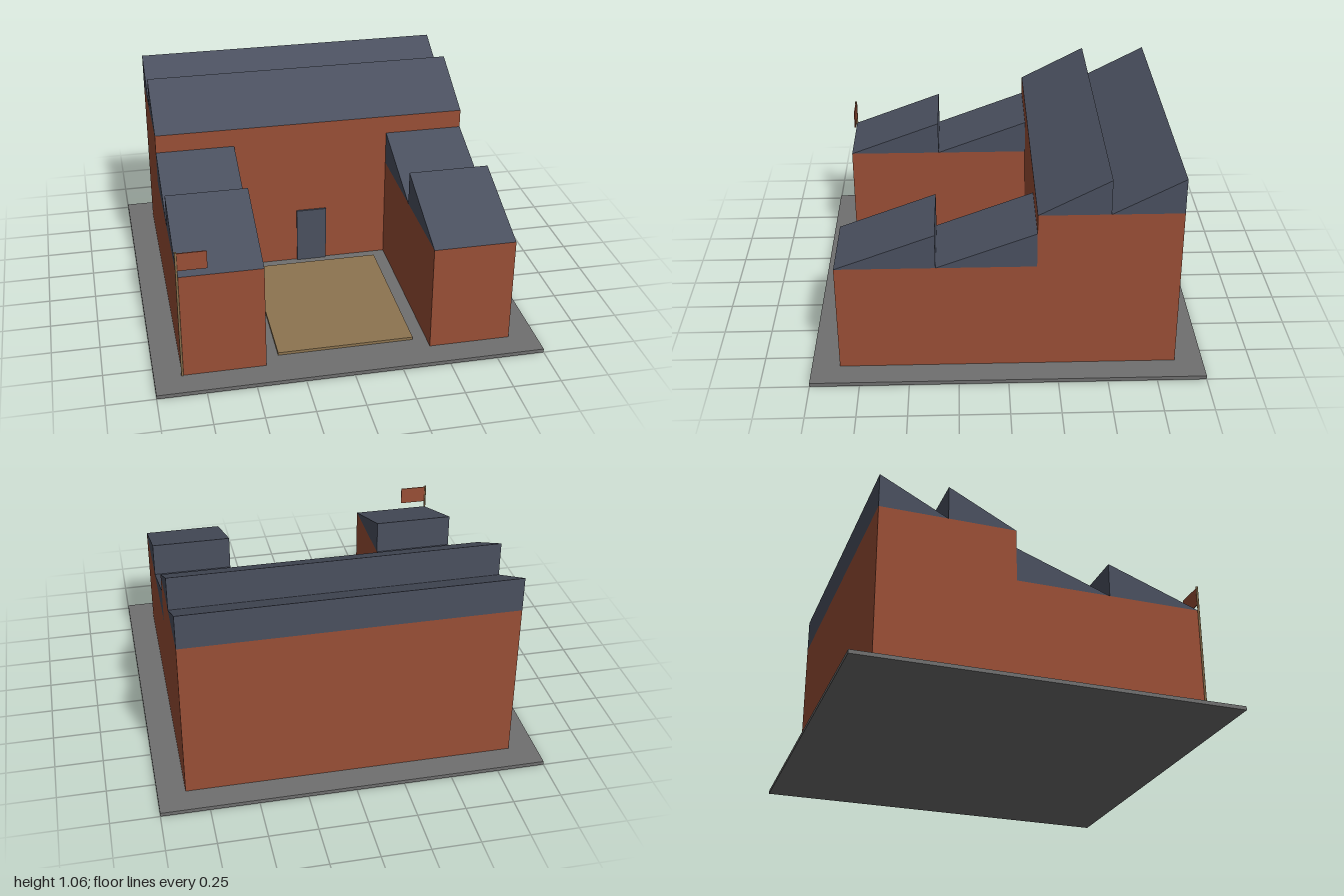
import * as THREE from 'three';

const material = (name, color) => {
  const m = new THREE.MeshStandardMaterial({ color });
  m.name = name;
  return m;
};

export function createModel() {
  const group = new THREE.Group();
  const brick = material('brick', 0x9a4f36);
  const slate = material('slate', 0x4a505f);
  const paving = material('paving', 0x707070);
  const sand = material('sand', 0x8d7450);

  const add = (name, geometry, mat) => {
    const mesh = new THREE.Mesh(geometry, mat);
    mesh.name = name;
    group.add(mesh);
    return mesh;
  };

  // Box given by its limits on each axis
  const block = (name, mat, [x0, x1], [y0, y1], [z0, z1]) =>
    add(name, new THREE.BoxGeometry(x1 - x0, y1 - y0, z1 - z0), mat)
      .position.set((x0 + x1) / 2, (y0 + y1) / 2, (z0 + z1) / 2);

  // Sawtooth roof wedge: low at the front, upright at the back
  const sawtooth = (name, [x0, x1], y, rise, zFront, zBack) => {
    const shape = new THREE.Shape([
      new THREE.Vector2(-zFront, y),
      new THREE.Vector2(-zBack, y),
      new THREE.Vector2(-zBack, y + rise),
    ]);
    const geometry = new THREE.ExtrudeGeometry(shape, { depth: x1 - x0, bevelEnabled: false });
    geometry.rotateY(Math.PI / 2).translate(x0, 0, 0);
    add(name, geometry, slate);
  };

  const ground = 0.02, rise = 0.184;

  // Ground slab and courtyard
  block('groundSlab', paving, [-1, 1], [0, ground], [-1, 1]);
  block('courtyard', sand, [-0.357, 0.357], [ground, 0.035], [-0.075, 0.782]);

  // Main hall with its roof and door
  const hall = [-0.857, 0.857];
  block('mainHall', brick, hall, [ground, 0.88], [-0.857, -0.143]);
  sawtooth('hallRoofFront', hall, 0.88, rise, -0.143, -0.5);
  sawtooth('hallRoofBack', hall, 0.88, rise, -0.5, -0.857);
  block('door', slate, [-0.084, 0.084], [ground, 0.34], [-0.143, -0.132]);

  // Side wings
  for (const [side, span] of [['left', [0.429, 0.857]], ['right', [-0.857, -0.429]]]) {
    block(side + 'Wing', brick, span, [ground, 0.595], [-0.143, 0.857]);
    sawtooth(side + 'WingRoofFront', span, 0.595, rise, 0.857, 0.357);
    sawtooth(side + 'WingRoofBack', span, 0.595, rise, 0.357, -0.143);
  }

  // Flagpole on the front corner
  const pole = add('flagpole', new THREE.CylinderGeometry(0.006, 0.006, 0.715, 8), sand);
  pole.position.set(-0.857, ground + 0.3575, 0.857);
  block('flag', brick, [-0.857, -0.706], [0.633, 0.729], [0.854, 0.86]);

  return group;
}
